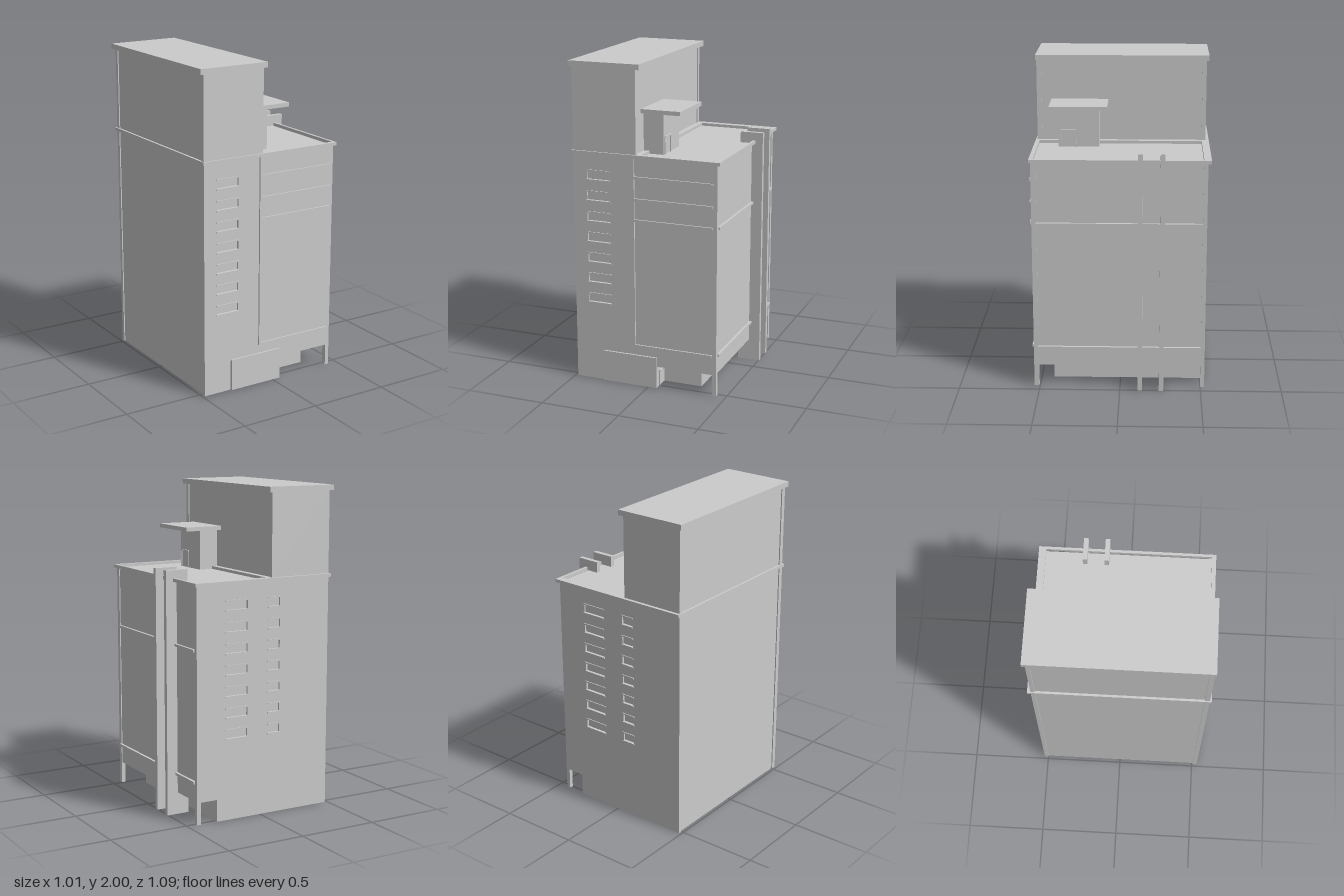
import * as THREE from 'three';

const material = new THREE.MeshStandardMaterial({ color: 0xcccccc, flatShading: true, side: THREE.DoubleSide });

export function createModel() {
  const model = new THREE.Group();

  // box given by its lower and upper limits on each axis
  function box(name, x0, x1, y0, y1, z0, z1) {
    const mesh = new THREE.Mesh(new THREE.BoxGeometry(x1 - x0, y1 - y0, z1 - z0), material);
    mesh.position.set((x0 + x1) / 2, (y0 + y1) / 2, (z0 + z1) / 2);
    mesh.name = name;
    model.add(mesh);
  }

  // upright slab with one row of window holes per storey
  const storeys = Array.from({ length: 7 }, (_, i) => 0.505 + i * 0.13);
  const windowHeight = 0.055;
  function wall(name, outline, columns, z0, z1) {
    const shape = new THREE.Shape(outline.map(([x, y]) => new THREE.Vector2(x, y)));
    for (const [a, b] of columns) for (const y of storeys) {
      const top = y + windowHeight;
      shape.holes.push(new THREE.Path([[a, y], [a, top], [b, top], [b, y]].map(p => new THREE.Vector2(...p))));
    }
    const mesh = new THREE.Mesh(new THREE.ExtrudeGeometry(shape, { depth: z1 - z0, bevelEnabled: false }), material);
    mesh.position.z = z0;
    mesh.name = name;
    model.add(mesh);
  }

  // window pane, lintel and sill; face is the wall plane, out its direction
  function windows(columns, face, out) {
    const span = (a, b) => [Math.min(face + out * a, face + out * b), Math.max(face + out * a, face + out * b)];
    for (const [a, b] of columns) for (const y of storeys) {
      const top = y + windowHeight;
      box('windowPane', a, b, y, top, ...span(-0.03, -0.012));
      box('windowLintel', a - 0.004, b + 0.004, top - 0.002, top + 0.006, ...span(-0.012, 0.006));
      box('windowSill', a - 0.004, b + 0.004, y - 0.006, y + 0.002, ...span(-0.012, 0.006));
    }
  }

  // front and back walls, each cut away at the foot around a corner leg
  const upper = [[0.415, 0.137], [0.415, 0], [0.44, 0], [0.44, 1.44], [-0.075, 1.44], [-0.075, 1.97], [-0.485, 1.97]];
  const frontWindows = [[-0.397, -0.248]];
  const backWindows = [[0.093, 0.245], [-0.135, -0.053]];
  wall('frontWall', [[-0.485, 0], [0.055, 0], [0.055, 0.137], ...upper], frontWindows, 0.505, 0.535);
  wall('backWall', [[-0.485, 0], [0.305, 0], [0.305, 0.137], ...upper], backWindows, -0.525, -0.5);
  windows(frontWindows, 0.535, 1);
  windows(backWindows, -0.525, -1);

  // side walls, set back slightly between the end walls
  box('rightWall', -0.478, -0.458, 0, 1.97, -0.5, 0.505);
  box('leftWall', 0.415, 0.434, 0.137, 1.44, -0.5, 0.505);
  box('towerInnerWall', -0.1, -0.082, 1.44, 1.97, -0.5, 0.505);

  // ground floor walls and the overhang above them
  box('groundSideWall', 0.29, 0.305, 0, 0.14, -0.5, 0.42);
  box('groundFrontWall', 0.055, 0.305, 0, 0.14, 0.405, 0.42);
  box('entranceWall', 0.04, 0.055, 0, 0.14, 0.405, 0.505);
  box('overhangSide', 0.29, 0.434, 0.137, 0.15, -0.5, 0.505);
  box('overhangFront', 0.04, 0.29, 0.137, 0.15, 0.405, 0.505);
  box('entrancePanel', -0.3, 0.055, 0, 0.197, 0.495, 0.547);

  // door frame in a wall facing +x
  function door(x, y0, y1, z0, z1) {
    box('doorLintel', x, x + 0.01, y1 - 0.008, y1, z0, z1);
    box('doorJamb', x, x + 0.006, y0, y1, z0, z0 + 0.007);
    box('doorJamb', x, x + 0.006, y0, y1, z1 - 0.007, z1);
  }
  door(0.055, 0, 0.105, 0.42, 0.505);

  // front frame and bands
  box('frontFrameUpright', -0.1, -0.085, 0.25, 1.44, 0.53, 0.545);
  for (const y of [0.25, 1.05, 1.18, 1.315]) box('frontBand', -0.085, 0.415, y, y + 0.015, 0.53, 0.545);
  for (const y of [0.25, 1.05]) box('sideBand', 0.43, 0.45, y, y + 0.015, -0.5, 0.51);

  // roof slab and the ledge running round at roof level
  box('roof', -0.1, 0.434, 1.43, 1.442, -0.5, 0.505);
  box('frontLedge', -0.492, 0.457, 1.44, 1.46, 0.52, 0.545);
  box('backLedge', -0.492, 0.457, 1.44, 1.46, -0.545, -0.525);
  box('backLedge', -0.082, 0.44, 1.44, 1.46, -0.53, -0.5);
  box('leftLedge', 0.44, 0.457, 1.44, 1.46, -0.53, 0.525);
  box('rightLedge', -0.492, -0.475, 1.44, 1.46, -0.53, 0.525);
  box('towerCurb', -0.085, -0.045, 1.44, 1.46, -0.53, 0.525);
  box('frontRoofEdge', -0.082, 0.44, 1.43, 1.442, 0.5, 0.525);
  box('towerCap', -0.505, -0.05, 1.967, 2, -0.54, 0.54);

  // roof access hut with a wide canopy
  box('roofHut', -0.085, 0.045, 1.44, 1.7, 0.14, 0.395);
  box('hutCanopy', -0.08, 0.172, 1.695, 1.72, 0.087, 0.443);
  door(0.045, 1.44, 1.553, 0.283, 0.38);

  // tall fins through the side
  for (const z of [-0.27, -0.137]) box('fin', 0.36, 0.505, 0, 1.51, z, z + 0.028);

  return model;
}
